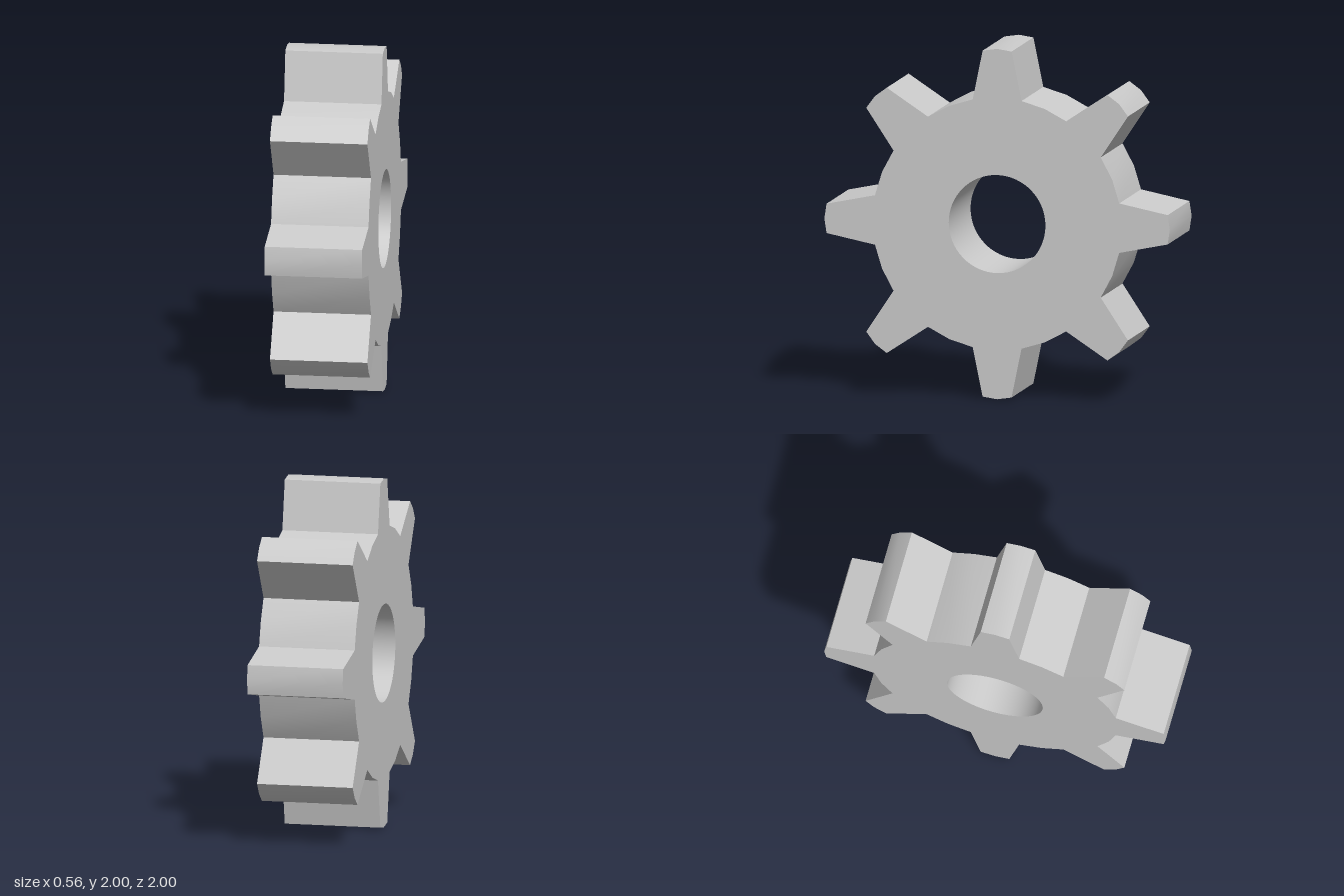
import * as THREE from 'three';
import { toCreasedNormals } from 'three/addons/utils/BufferGeometryUtils.js';

const TEETH = 8;
const WIDTH = 0.555;
const ROOT_RADIUS = 0.721;
const BORE_RADIUS = 0.28;

// One tooth and the gap after it: [radius, angle in degrees from the tooth's centre line]
const TOOTH = [
  [ROOT_RADIUS, -11.3],
  [0.991, -4.85],
  [1.0, 0],
  [0.991, 4.85],
  [ROOT_RADIUS, 11.3],
  [ROOT_RADIUS, 22.5],
];

function gearShape() {
  const points = [];
  for (let i = 0; i < TEETH; i++) {
    for (const [radius, degrees] of TOOTH) {
      const angle = THREE.MathUtils.degToRad(degrees + (i * 360) / TEETH);
      points.push(new THREE.Vector2(radius * Math.cos(angle), radius * Math.sin(angle)));
    }
  }
  const shape = new THREE.Shape(points);
  // Round bore for the axle
  shape.holes.push(new THREE.Path().absarc(0, 0, BORE_RADIUS, 0, Math.PI * 2, true));
  return shape;
}

export function createModel() {
  const group = new THREE.Group();
  group.name = 'spurGear';

  // Toothed wheel, extruded along the axle and turned so the axle lies on x
  let geometry = new THREE.ExtrudeGeometry(gearShape(), {
    depth: WIDTH,
    bevelEnabled: false,
    curveSegments: 32,
  });
  geometry.translate(0, 0, -WIDTH / 2);
  geometry.rotateY(Math.PI / 2);
  geometry.translate(0, 1, 0);
  geometry = toCreasedNormals(geometry, Math.PI / 6);

  const wheel = new THREE.Mesh(geometry, new THREE.MeshStandardMaterial({ color: 0xcccccc }));
  wheel.name = 'toothedWheel';
  group.add(wheel);
  return group;
}
